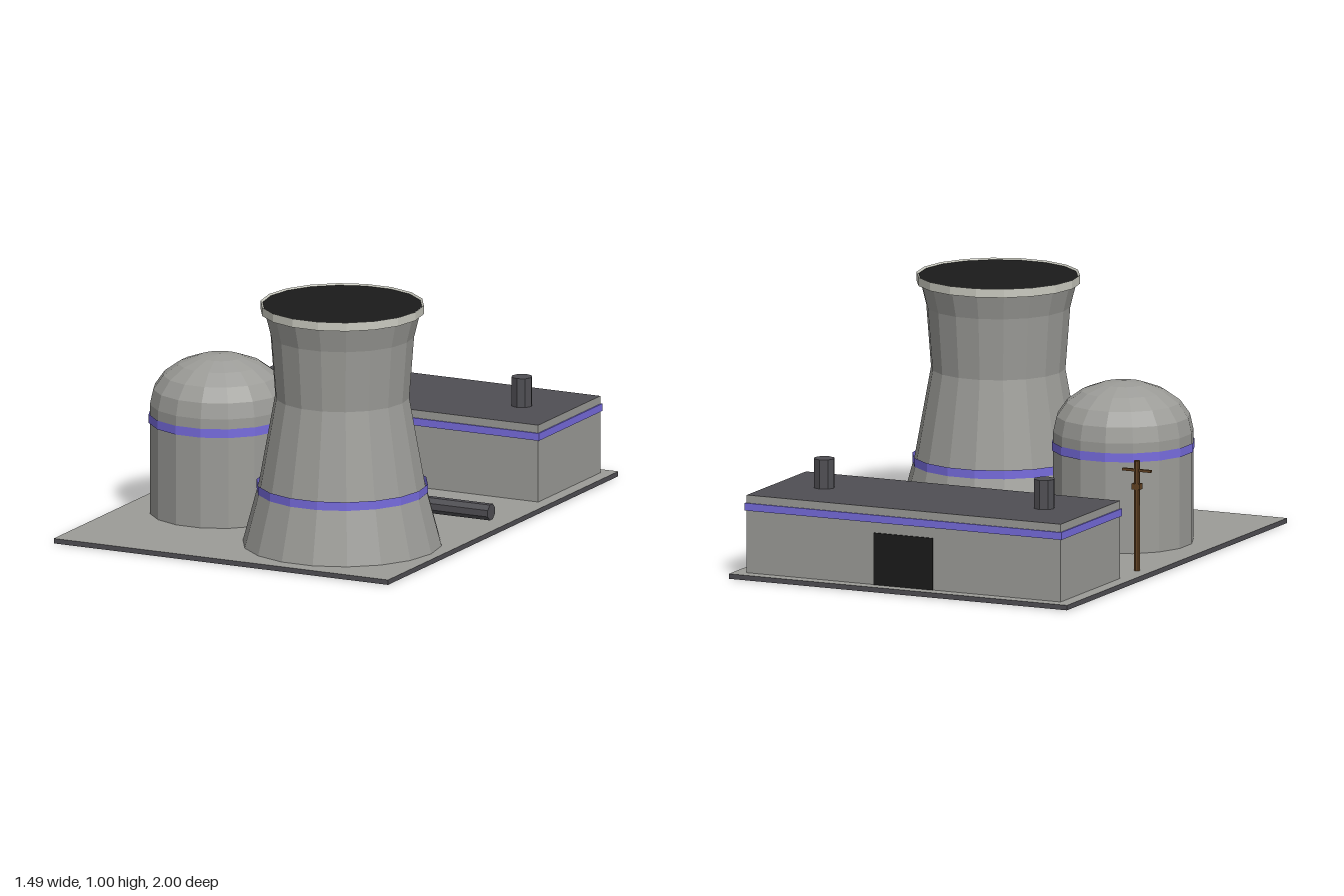
import * as THREE from 'three';

const mat = (name, color, extra = {}) => {
  const m = new THREE.MeshStandardMaterial({ color, flatShading: true, ...extra });
  m.name = name;
  return m;
};

export function createModel() {
  const root = new THREE.Group();
  root.name = 'powerPlant';
  const concrete = mat('concrete', 0x9c9c98);
  const paleConcrete = mat('pale concrete', 0xcacac0, { side: THREE.DoubleSide });
  const dark = mat('dark metal', 0x504f54);
  const purple = mat('purple band', 0x776cde, { side: THREE.DoubleSide });
  const black = mat('black', 0x1b1b1b);
  const wood = mat('wood', 0x624222);

  const add = (parent, name, geo, material, x = 0, y = 0, z = 0) => {
    const m = new THREE.Mesh(geo, material);
    m.name = name;
    m.position.set(x, y, z);
    parent.add(m);
    return m;
  };
  const group = (name, x = 0, z = 0) => {
    const g = new THREE.Group();
    g.name = name;
    g.position.set(x, 0, z);
    root.add(g);
    return g;
  };
  // faceted solid of revolution with a flat side facing front
  const lathe = (sides, pts) => new THREE.LatheGeometry(
    pts.map(([r, y]) => new THREE.Vector2(r, y)), sides, Math.PI / sides);
  const box = (w, h, d) => new THREE.BoxGeometry(w, h, d);

  // Ground slab: dark edges with concrete top and underside
  add(root, 'groundSlab', box(1.49, 0.02, 2),
    [dark, dark, concrete, concrete, dark, dark], 0, 0.01, 0);

  // Cooling tower; the band is an open strip hugging the shell
  const tower = group('coolingTower', 0.305, 0.54);
  const T = 18;
  add(tower, 'towerShell', lathe(T, [[0.397, 0.02], [0.333, 0.26], [0.268, 0.62],
    [0.287, 0.87], [0.312, 0.97]]), concrete);
  add(tower, 'towerBand', lathe(T, [[0.342, 0.235], [0.342, 0.27]]), purple);
  add(tower, 'towerRim', lathe(T, [[0.326, 0.965], [0.326, 1], [0.316, 0.99]]), paleConcrete);
  add(tower, 'towerOpening', lathe(T, [[0.318, 0.994], [0, 0.994]]), black);

  // Reactor building with a five-ring dome
  const reactor = group('reactor', -0.36, 0.305);
  const R = 16;
  add(reactor, 'reactorWall', lathe(R, [[0.281, 0.02], [0.281, 0.465]]), concrete);
  const dome = [];
  for (let i = 0; i <= 5; i++) {
    const a = i * Math.PI / 10;
    dome.push([i === 5 ? 0 : 0.281 * Math.cos(a), 0.465 + 0.2 * Math.sin(a)]);
  }
  add(reactor, 'reactorDome', lathe(R, dome), concrete);
  add(reactor, 'reactorBand', lathe(R, [[0.285, 0.39], [0.285, 0.426]]), purple);

  // Turbine hall with dark roof, band, back door and two chimneys
  const hall = group('turbineHall', 0, -0.678);
  add(hall, 'hallWalls', box(1.384, 0.314, 0.54),
    [concrete, concrete, dark, concrete, concrete, concrete], 0, 0.177, 0);
  add(hall, 'hallBand', box(1.396, 0.03, 0.552), purple, 0, 0.287, 0);
  add(hall, 'hallDoor', box(0.26, 0.21, 0.008), black, 0, 0.125, -0.271);
  for (const s of [-1, 1]) {
    add(hall, 'chimney', new THREE.CylinderGeometry(0.043, 0.043, 0.12, 8),
      dark, s * 0.485, 0.392, 0.008);
  }

  // Coolant pipe: short stub from the tower, then a run to the edge
  const pipes = group('coolantPipe');
  const pipe = (len) => new THREE.CylinderGeometry(0.034, 0.034, len, 8, 1, false, Math.PI / 8);
  add(pipes, 'pipeStub', pipe(0.14), dark, 0.305, 0.09, 0.14).rotation.x = Math.PI / 2;
  add(pipes, 'pipeRun', pipe(0.425), dark, 0.5175, 0.09, 0.073).rotation.z = Math.PI / 2;

  // Utility pole
  const pole = group('utilityPole', -0.68, -0.23);
  add(pole, 'poleShaft', new THREE.CylinderGeometry(0.012, 0.013, 0.445, 8), wood, 0, 0.2415, 0);
  add(pole, 'crossbar', box(0.126, 0.01, 0.012), wood, 0, 0.425, 0);
  add(pole, 'poleCollar', box(0.034, 0.024, 0.028), wood, 0, 0.36, 0);

  return root;
}
